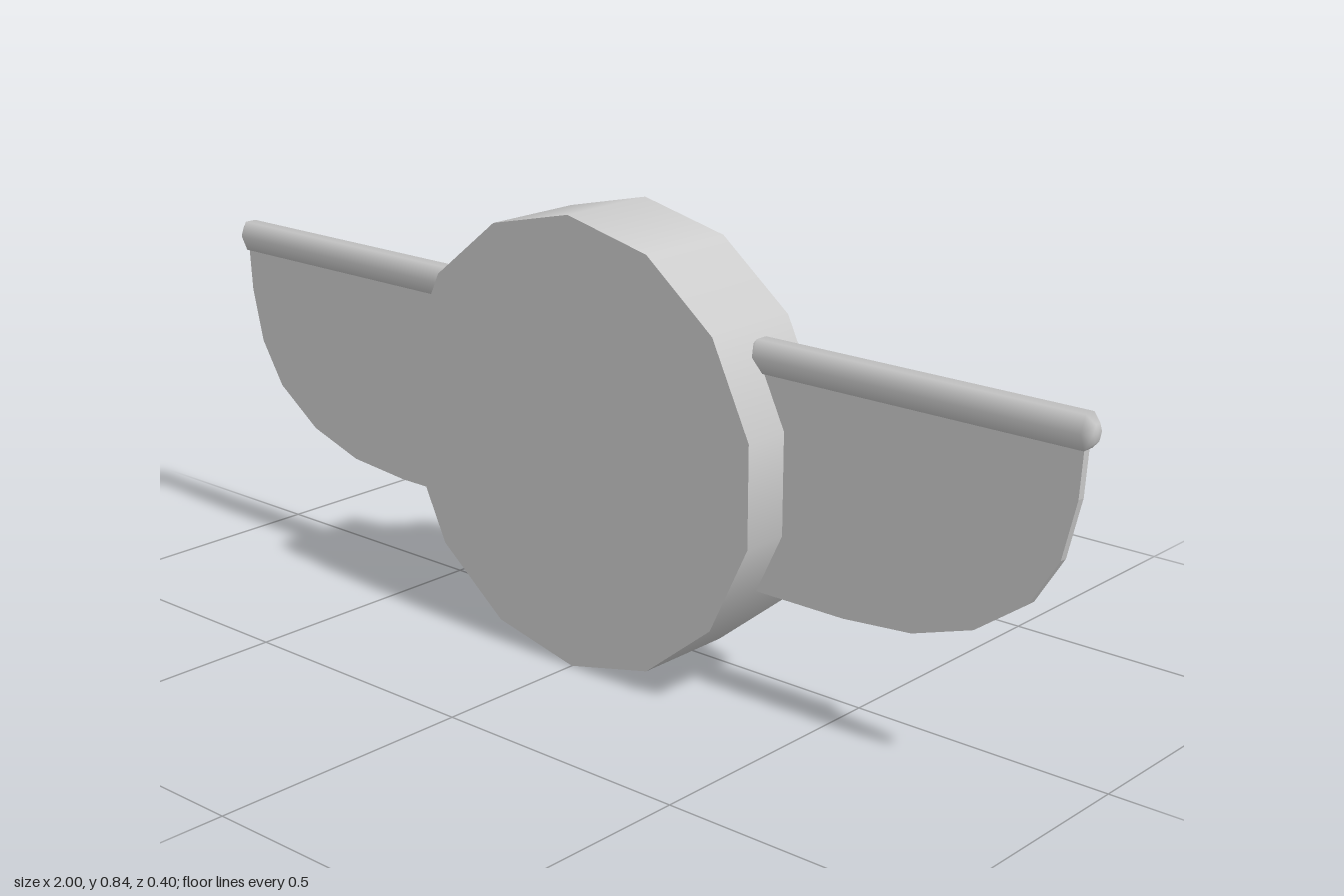
import * as THREE from 'three';

const SIDES = 14;
const CENTRE_Y = 0.42;

// Surface of revolution around z; profile is [radius, z] with z ascending
function turned(name, profile, material) {
  const points = profile.map(([r, z]) => new THREE.Vector2(r, z));
  const geometry = new THREE.LatheGeometry(points, SIDES);
  geometry.rotateX(Math.PI / 2);
  const mesh = new THREE.Mesh(geometry, material);
  mesh.name = name;
  mesh.position.y = CENTRE_Y;
  return mesh;
}

// One wing pointing along +x: thin plate hanging from a rounded rod
function createWing(name, material) {
  const wing = new THREE.Group();
  wing.name = name;

  const outline = [
    [0.34, 0.635], [0.34, 0.213], [0.54, 0.213], [0.68, 0.225], [0.8, 0.264],
    [0.9, 0.335], [0.953, 0.42], [0.978, 0.525], [0.985, 0.635],
  ].map(([x, y]) => new THREE.Vector2(x, y));
  const plateGeometry = new THREE.ExtrudeGeometry(new THREE.Shape(outline.reverse()), {
    depth: 0.015, bevelEnabled: false,
  });
  plateGeometry.translate(0, 0, -0.0075);
  const plate = new THREE.Mesh(plateGeometry, material);
  plate.name = 'wingPlate';

  // Six-sided rod with chamfered ends, slightly flattened in z
  const r = 0.0335;
  const rodProfile = [[0, 0.335], [r / 2, 0.335], [r, 0.35], [r, 0.985], [r / 2, 1], [0, 1]]
    .map(([x, y]) => new THREE.Vector2(x, y));
  const rodGeometry = new THREE.LatheGeometry(rodProfile, 6);
  rodGeometry.rotateZ(-Math.PI / 2);
  rodGeometry.scale(1, 1, 0.72);
  const rod = new THREE.Mesh(rodGeometry, material);
  rod.name = 'wingRod';
  rod.position.y = 0.635;

  wing.add(plate, rod);
  wing.position.z = 0.1;
  return wing;
}

export function createModel() {
  const model = new THREE.Group();
  model.name = 'wingedDisc';
  const grey = new THREE.MeshStandardMaterial({ color: 0xcccccc });
  grey.name = 'light grey';

  // Disc body, split at its sharp edges
  model.add(
    turned('frontFace', [[0.418, 0.2], [0, 0.2]], grey),
    turned('discRim', [[0.418, 0], [0.418, 0.2]], grey),
    turned('backBevel', [[0.352, -0.025], [0.418, 0]], grey),
    turned('backDome', [[0, -0.2], [0.21, -0.165], [0.317, -0.095], [0.352, -0.025]], grey),
  );

  // Wings
  const leftWing = createWing('leftWing', grey);
  const rightWing = createWing('rightWing', grey);
  rightWing.rotation.y = Math.PI;
  model.add(leftWing, rightWing);

  return model;
}
